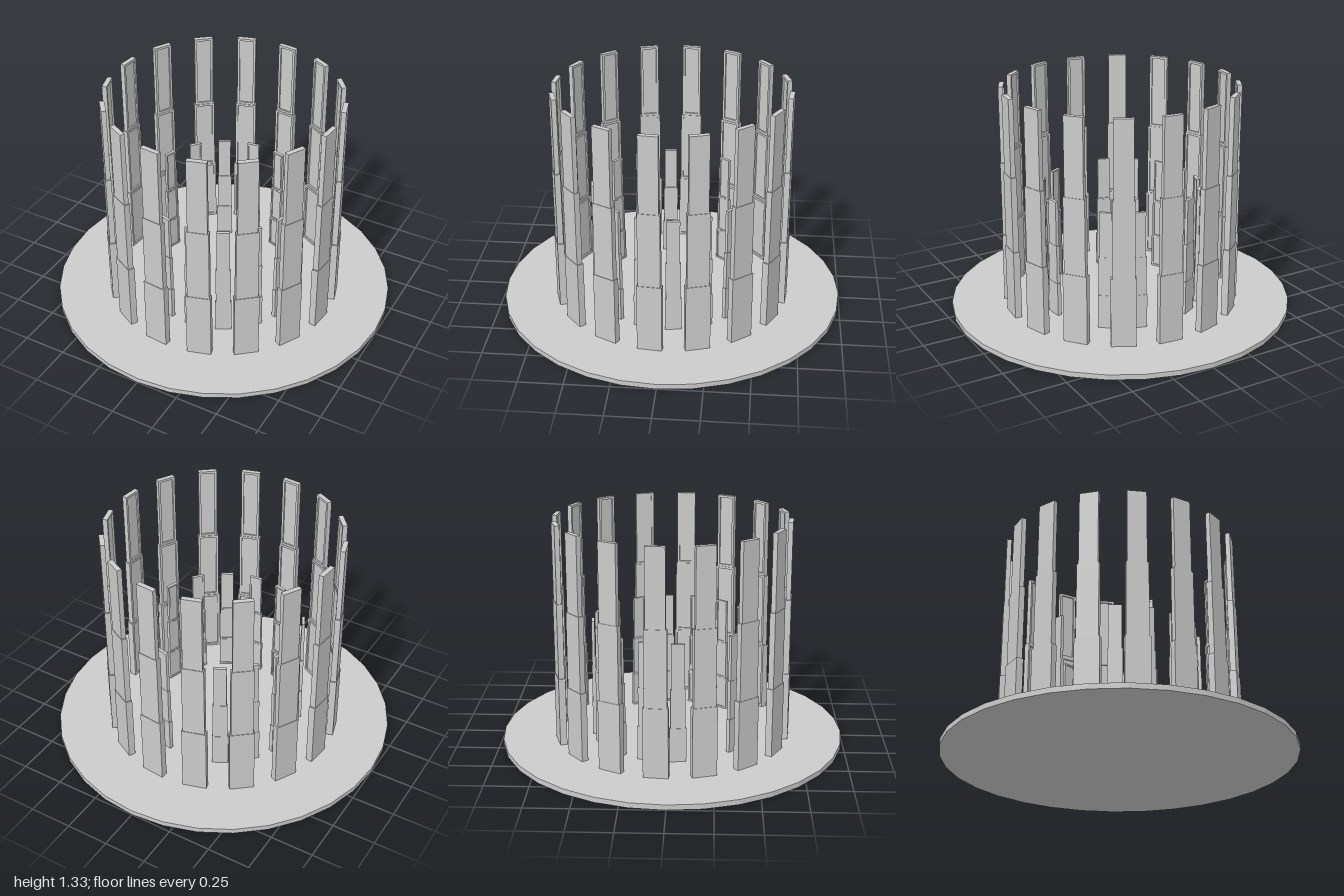
import * as THREE from 'three';

const material = new THREE.MeshStandardMaterial({ color: 0xcccccc, flatShading: true });

function addMesh(parent, geometry, name) {
  const mesh = new THREE.Mesh(geometry, material);
  mesh.name = name;
  parent.add(mesh);
  return mesh;
}

// One slab section: flat on the outside (+z), framed recess on the inside (-z)
function addTier(parent, width, depth, y0, y1, rim, recess) {
  const tier = new THREE.Group();
  tier.name = 'slabTier';
  const h = y1 - y0;
  const panel = addMesh(tier, new THREE.BoxGeometry(width, h, depth - recess), 'tierPanel');
  panel.position.set(0, y0 + h / 2, recess / 2);

  const outline = (w, t, Type) => new Type([
    new THREE.Vector2(-w / 2, y0 + t), new THREE.Vector2(w / 2, y0 + t),
    new THREE.Vector2(w / 2, y1 - t), new THREE.Vector2(-w / 2, y1 - t),
  ]);
  const shape = outline(width, 0, THREE.Shape);
  shape.holes.push(outline(width - 2 * rim, rim, THREE.Path));
  const frame = addMesh(tier,
    new THREE.ExtrudeGeometry(shape, { depth: recess, bevelEnabled: false }), 'tierFrame');
  frame.position.z = -depth / 2;
  parent.add(tier);
}

// Ring of sixteen upright slabs, each narrowing in three tiers
function addRing(parent, name, { radius, offset, widths, depths, levels, rim, recess }) {
  const ring = new THREE.Group();
  ring.name = name;
  for (let k = 0; k < 16; k++) {
    const angle = k * Math.PI / 8 + THREE.MathUtils.degToRad(offset);
    const slab = new THREE.Group();
    slab.name = 'slab';
    slab.position.set(radius * Math.sin(angle), 0, radius * Math.cos(angle));
    slab.rotation.y = angle;
    widths.forEach((w, i) => addTier(slab, w, depths[i], levels[i], levels[i + 1], rim, recess));
    ring.add(slab);
  }
  parent.add(ring);
}

export function createModel() {
  const model = new THREE.Group();
  model.name = 'slabCircle';

  // Thin round base
  addMesh(model, new THREE.CylinderGeometry(1, 1, 0.03, 32), 'base').position.y = 0.015;

  // Tall outer ring
  addRing(model, 'outerRing', {
    radius: 0.668, offset: -5.7,
    widths: [0.14, 0.125, 0.11], depths: [0.04, 0.034, 0.028],
    levels: [0.03, 0.435, 0.877, 1.325], rim: 0.014, recess: 0.009,
  });

  // Shorter inner ring
  addRing(model, 'innerRing', {
    radius: 0.46, offset: 5.7,
    widths: [0.094, 0.085, 0.075], depths: [0.024, 0.021, 0.018],
    levels: [0.03, 0.23, 0.46, 0.725], rim: 0.01, recess: 0.006,
  });

  return model;
}
